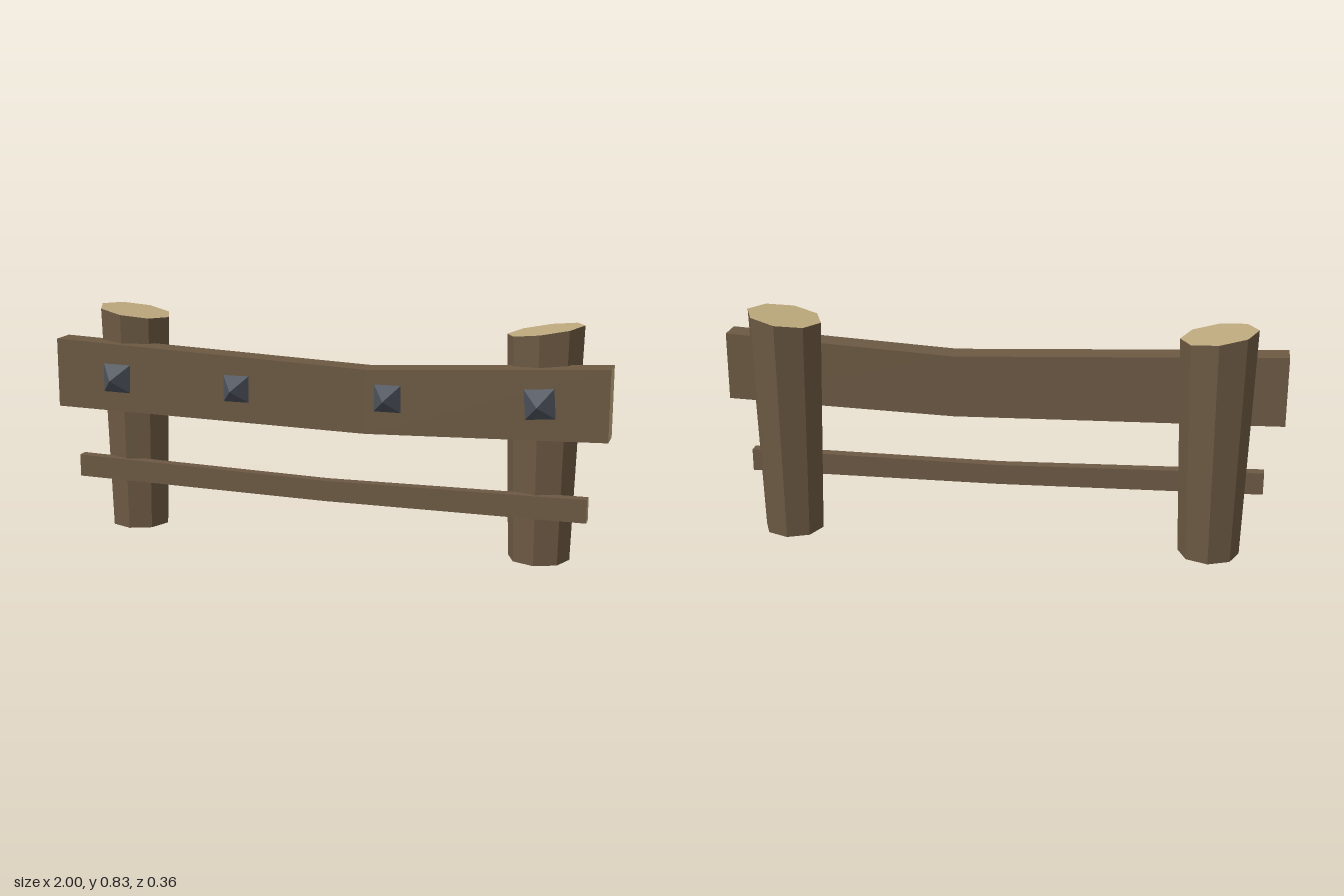
import * as THREE from 'three';

const mat = (name, color, side = THREE.FrontSide) => {
  const m = new THREE.MeshStandardMaterial({ color, side, flatShading: true });
  m.name = name;
  return m;
};

export function createModel() {
  const wood = mat('brown wood', 0x6c5943, THREE.DoubleSide);
  const cutWood = mat('pale cut wood', 0xbda97d);
  const iron = mat('dark iron', 0x4d525b);
  const model = new THREE.Group();
  model.name = 'fence';

  const add = (parent, name, geometry, material) => {
    const mesh = new THREE.Mesh(geometry, material);
    mesh.name = name;
    parent.add(mesh);
    return mesh;
  };

  // Moves every vertex with a rule
  const reshape = (geometry, rule) => {
    const p = geometry.attributes.position;
    const v = new THREE.Vector3();
    for (let i = 0; i < p.count; i++) {
      rule(v.fromBufferAttribute(p, i));
      p.setXYZ(i, v.x, v.y, v.z);
    }
    geometry.computeVertexNormals();
    return geometry;
  };

  // Eight-sided tapered posts, hollow underneath, sawn off at a slant rising outward
  for (const side of [-1, 1]) {
    const post = new THREE.Group();
    post.name = side < 0 ? 'rightPost' : 'leftPost';
    post.position.set(side * 0.758, 0, -0.046);
    model.add(post);
    const slant = (v) => { if (v.y > 0.4) v.y = 0.805 + side * v.x * 0.152; };
    const trunk = new THREE.CylinderGeometry(0.132, 0.108, 0.805, 8, 1, true).translate(0, 0.4025, 0);
    add(post, 'postTrunk', reshape(trunk.toNonIndexed(), slant), wood);
    const top = new THREE.CircleGeometry(0.132, 8).rotateX(-Math.PI / 2).translate(0, 0.805, 0);
    add(post, 'postTop', reshape(top, slant), cutWood);
  }

  // Sagging rail through three stations [x, bottom, top], with pale sawn ends
  const rail = (name, stations, back, front) => {
    const g = new THREE.BoxGeometry(2, 1, front - back, 2, 1, 1);
    g.translate(0, 0, (front + back) / 2);
    const bent = reshape(g, (v) => {
      const [x, low, high] = stations[Math.round(v.x) + 1];
      v.set(x, v.y > 0 ? high : low, v.z);
    });
    add(model, name, bent, [cutWood, cutWood, wood, wood, wood, wood]);
  };
  rail('upperRail', [[-1, 0.462, 0.712], [0.17, 0.437, 0.662], [1, 0.463, 0.709]], 0.02, 0.113);
  rail('lowerRail', [[-0.94, 0.193, 0.274], [0.01, 0.175, 0.249], [0.935, 0.174, 0.256]], 0.043, 0.083);

  // Pyramid studs on the upper rail: x, y, width, twist
  const studs = [
    [-0.765, 0.578, 0.104, -0.02],
    [-0.305, 0.567, 0.096, 0],
    [0.247, 0.566, 0.096, 0],
    [0.77, 0.579, 0.104, 0.08],
  ];
  studs.forEach(([x, y, width, twist], i) => {
    const g = new THREE.ConeGeometry(width / Math.SQRT2, 0.065, 4);
    g.rotateY(Math.PI / 4).rotateX(Math.PI / 2);
    const stud = add(model, 'stud' + (i + 1), g, iron);
    stud.position.set(x, y, 0.1445);
    stud.rotation.z = twist;
  });

  return model;
}
